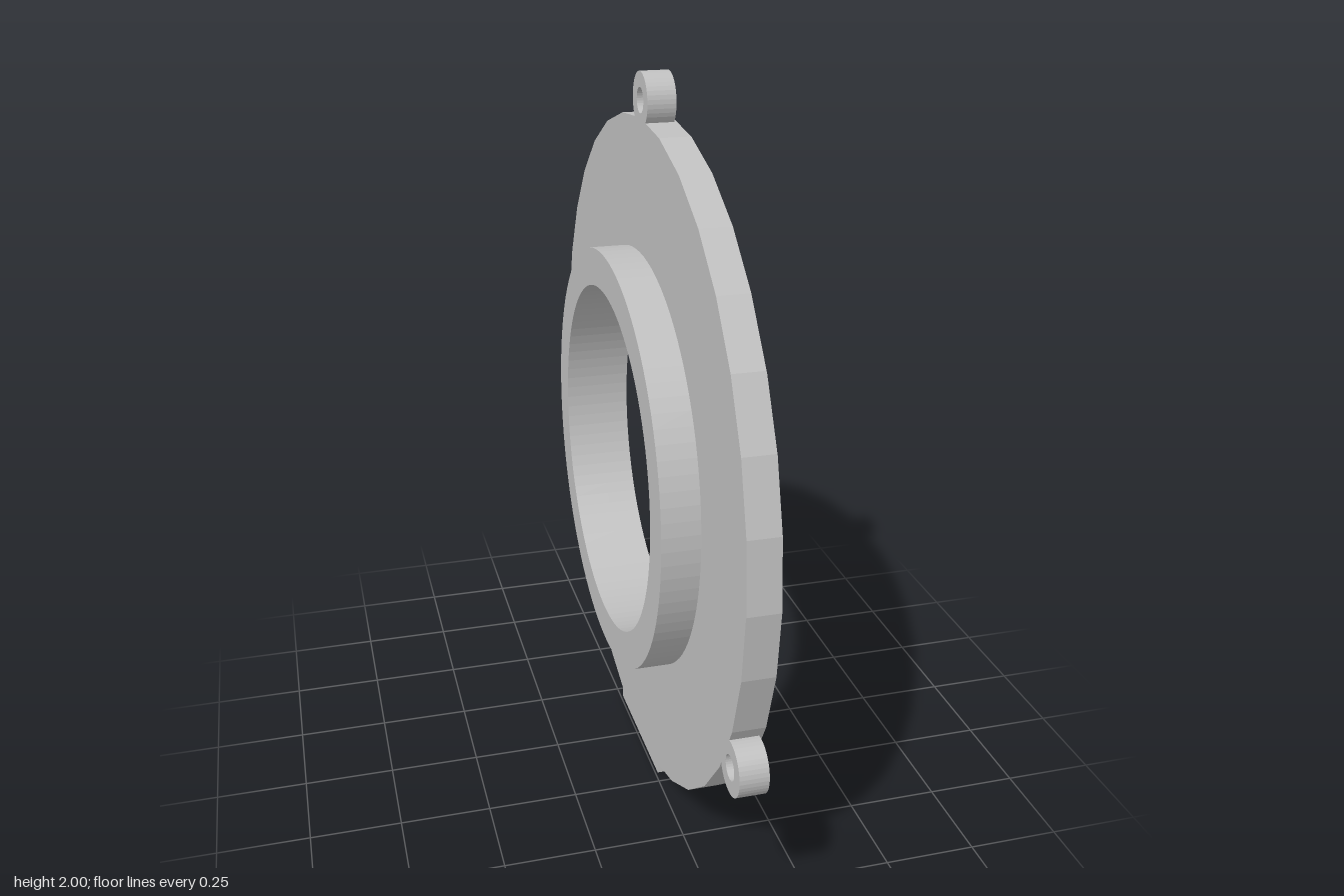
import * as THREE from 'three';

const CY = 0.937;      // height of the ring axis
const BACK = 0.007;    // x of the flange's rear face
const BORE = 0.487;

// points on an ellipse arc, in (z, y) about the axis
function arc(rx, ry, n, from = 0, to = Math.PI * 2) {
  return Array.from({ length: n + 1 }, (_, i) => {
    const a = from + (to - from) * i / n;
    return new THREE.Vector2(rx * Math.cos(a), ry * Math.sin(a));
  });
}

export function createModel() {
  const group = new THREE.Group();
  const grey = new THREE.MeshStandardMaterial({ color: 0xbfbfbf });
  grey.name = 'light grey';

  // extrudes an outline along x between two planes
  function plate(name, outline, hole, x0, x1, y = CY, z = 0) {
    const shape = new THREE.Shape(outline);
    if (hole) shape.holes.push(new THREE.Path(hole));
    const geo = new THREE.ExtrudeGeometry(shape, { depth: x1 - x0, bevelEnabled: false });
    geo.rotateY(Math.PI / 2);
    const mesh = new THREE.Mesh(geo, grey);
    mesh.name = name;
    mesh.position.set(x0, y, z);
    group.add(mesh);
  }

  const circle = (r, n) => arc(r, r, n).slice(0, -1);

  // faceted flange with a smooth bore
  plate('flange', circle(0.931, 32), circle(BORE, 96), BACK, 0.093);

  // slim raised band over the upper half of the rim
  const band = [...arc(0.934, 0.946, 16, 0, Math.PI), ...arc(0.925, 0.925, 16, Math.PI, 0)];
  plate('upperRimBand', band, null, BACK, 0.09);

  // collar behind the flange
  plate('collar', circle(0.59, 96), circle(BORE, 96), -0.095, BACK);

  // three mounting lugs
  for (const [y, z] of [[1.927, 0], [0.475, 0.853], [0.475, -0.853]]) {
    plate('mountingLug', circle(0.073, 40), circle(0.033, 32), BACK, 0.083, y, z);
  }

  // flat foot, cut to follow the rim above it
  const foot = [
    new THREE.Vector2(-0.21, -CY), new THREE.Vector2(0.21, -CY),
    new THREE.Vector2(0.21, -0.905), new THREE.Vector2(0, -0.92), new THREE.Vector2(-0.21, -0.905),
  ];
  plate('foot', foot, null, BACK, 0.09);

  return group;
}
